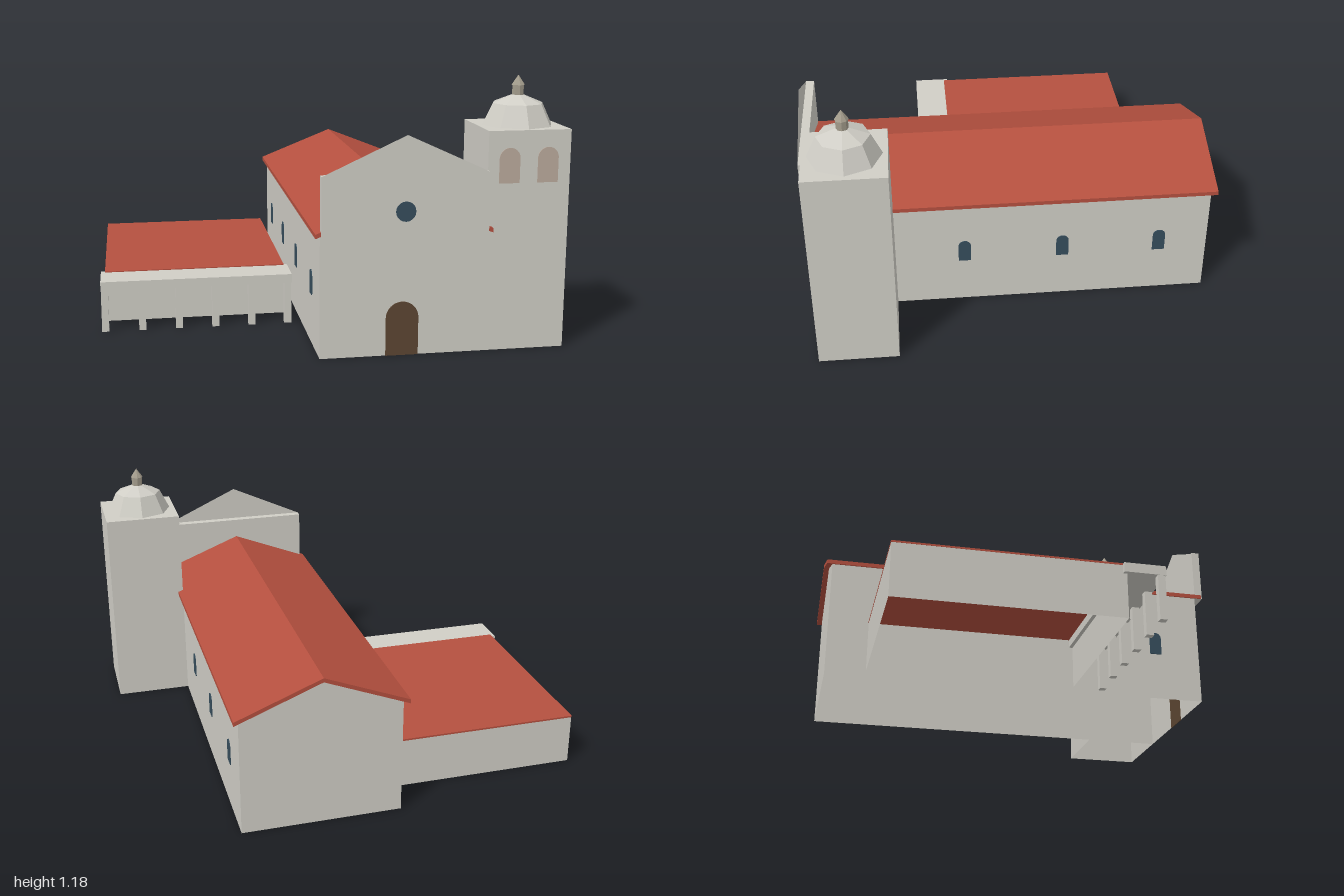
import * as THREE from 'three';

const mat = (name, color, side = THREE.FrontSide) => {
  const m = new THREE.MeshStandardMaterial({ color, side });
  m.name = name;
  return m;
};

export function createModel() {
  const group = new THREE.Group();
  const stone = mat('paleStone', 0xd0cec6, THREE.DoubleSide);
  const tile = mat('redTile', 0xb5503f, THREE.DoubleSide);
  const wood = mat('darkWood', 0x5c4632);
  const glass = mat('blueGlass', 0x364d5c);
  const recess = mat('tanRecess', 0xbcab9d);
  const lanternStone = mat('lanternStone', 0xa39c8c);
  stone.flatShading = lanternStone.flatShading = true;

  const add = (name, geo, material, x = 0, y = 0, z = 0) => {
    const mesh = new THREE.Mesh(geo, material);
    mesh.name = name;
    mesh.position.set(x, y, z);
    group.add(mesh);
    return mesh;
  };

  // Box given by its limits; omit lists sides left open (2 = top, 3 = bottom)
  const box = (name, material, [x0, x1], [y0, y1], [z0, z1], omit = []) => {
    const geo = new THREE.BoxGeometry(x1 - x0, y1 - y0, z1 - z0);
    const index = Array.from(geo.index.array).filter((_, i) => !omit.includes(Math.floor(i / 6)));
    geo.setIndex(index);
    geo.clearGroups();
    return add(name, geo, material, (x0 + x1) / 2, (y0 + y1) / 2, (z0 + z1) / 2);
  };

  const polygon = (pts) => new THREE.Shape(pts.map(([x, y]) => new THREE.Vector2(x, y)));

  // Thin round-headed panel, base at y = 0
  const arch = (w, h) => {
    const r = w / 2;
    const s = new THREE.Shape();
    s.moveTo(-r, 0);
    s.lineTo(r, 0);
    s.lineTo(r, h - r);
    s.absarc(0, h - r, r, 0, Math.PI, false);
    s.closePath();
    return new THREE.ExtrudeGeometry(s, { depth: 0.004, bevelEnabled: false, curveSegments: 10 });
  };

  const L = -0.08, R = 0.638, MID = 0.279, FRONT = 0.89, BACK = -0.905, EAVE = 0.541;

  // Nave walls, ceiling and end gables
  box('naveWalls', stone, [L, R], [0, EAVE], [BACK, FRONT], [3]);
  const gable = new THREE.ShapeGeometry(polygon([[L, EAVE], [R, EAVE], [MID, 0.685]]));
  add('frontGable', gable, stone, 0, 0, FRONT);
  add('backGable', gable.clone().rotateY(Math.PI).translate(2 * MID, 0, 0), stone, 0, 0, BACK);

  // Pitched nave roof
  const roof = polygon([
    [-0.103, 0.533], [MID, 0.684], [0.661, 0.533],
    [0.661, 0.552], [MID, 0.703], [-0.103, 0.552],
  ]);
  add('naveRoof', new THREE.ExtrudeGeometry(roof, { depth: 1.847, bevelEnabled: false }), tile, 0, 0, -0.93);

  // Raised facade with a flat pediment
  box('upperFacade', stone, [L, R], [0.543, 0.797], [0.892, 0.93]);
  add('pediment', new THREE.ShapeGeometry(polygon([[L, 0.797], [R, 0.797], [MID, 0.962]])), stone, 0, 0, 0.93);
  add('door', arch(0.142, 0.238), wood, MID - 0.002, 0, FRONT);
  const rose = new THREE.CylinderGeometry(0.043, 0.043, 0.004, 20).rotateX(Math.PI / 2);
  add('roundWindow', rose, glass, MID - 0.002, 0.64, 0.931);

  // Side windows; the right wall's front bay is taken by the tower
  [-0.68, -0.23, 0.22, 0.67].forEach((z, i) => {
    add('leftmostSideWindow', arch(0.057, 0.11), glass, L, 0.225, z).rotation.y = -Math.PI / 2;
    group.children.at(-1).name = 'westWindow' + (i + 1);
    if (i < 3) add('eastWindow' + (i + 1), arch(0.057, 0.11), glass, R, 0.225, z).rotation.y = Math.PI / 2;
  });

  // Bell tower
  const tx = 0.819, tz = 0.713;
  box('tower', stone, [R, 1], [0, 0.963], [0.536, FRONT], [3]);
  [0.732, 0.901].forEach((x, i) => add('belfryOpening' + (i + 1), arch(0.09, 0.152), recess, x, 0.738, FRONT));

  // Eight-sided dome and lantern, stacked as [name, bottom radius, top radius, bottom y, top y]
  [
    ['domeLower', 0.157, 0.112, 0.963, 1.057, stone],
    ['domeUpper', 0.112, 0.025, 1.057, 1.093, stone],
    ['lantern', 0.026, 0.026, 1.085, 1.135, lanternStone],
    ['lanternCap', 0.03, 0.001, 1.135, 1.177, lanternStone],
  ].forEach(([name, r0, r1, y0, y1, m]) =>
    add(name, new THREE.CylinderGeometry(r1, r0, y1 - y0, 8), m, tx, (y0 + y1) / 2, tz));

  // Low side building with a flat tiled roof
  box('annexWalls', stone, [-0.98, -0.143], [0, 0.232], [-0.725, 0.234], [2, 3]);
  box('annexRoof', tile, [-0.981, -0.142], [0.232, 0.24], [-0.726, 0.235]);

  // Portico
  box('porticoRoof', stone, [-1, -0.126], [0.195, 0.236], [0.217, 0.395]);
  for (let i = 0; i < 6; i++) {
    const x = -0.983 + i * 0.1677;
    box('porticoPost' + (i + 1), stone, [x - 0.016, x + 0.016], [0, 0.195], [0.358, 0.39]);
  }

  return group;
}
